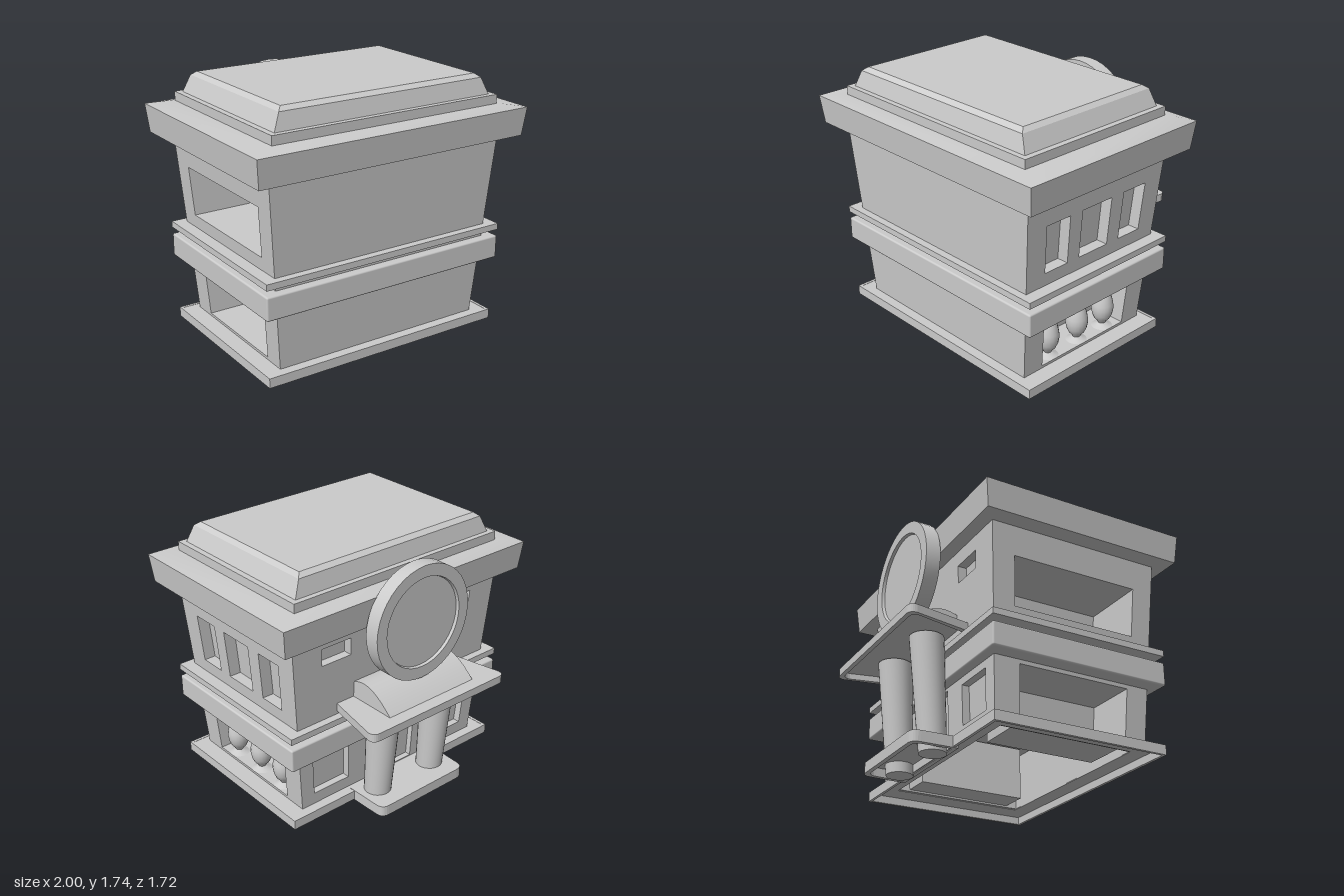
import * as THREE from 'three';
import { toCreasedNormals } from 'three/addons/utils/BufferGeometryUtils.js';
import { RoundedBoxGeometry } from 'three/addons/geometries/RoundedBoxGeometry.js';

const grey = new THREE.MeshStandardMaterial({ color: 0xcccccc, side: THREE.DoubleSide });
const WALL = 0.07; // wall thickness

function add(parent, name, geometry, x = 0, y = 0, z = 0) {
  const mesh = new THREE.Mesh(geometry, grey);
  mesh.name = name;
  mesh.position.set(x, y, z);
  parent.add(mesh);
  return mesh;
}

// The walls flare outward with height
const halfX = (y) => 0.757 + 0.083 * (y - 0.08);
const halfZ = (y) => 0.53 + 0.058 * (y - 0.08);

// Each facade: turn about y, distance from the centre, half width
const sides = {
  front: { turn: 0, dist: halfZ, half: halfX },
  back: { turn: Math.PI, dist: halfZ, half: halfX },
  left: { turn: Math.PI / 2, dist: halfX, half: halfZ },
  right: { turn: -Math.PI / 2, dist: halfX, half: halfZ },
};

const rectPoints = ([u0, u1, y0, y1]) =>
  [[u0, y0], [u1, y0], [u1, y1], [u0, y1]].map(([u, y]) => new THREE.Vector2(u, y));

// Panel in width fractions (-1..1) by height, bent to the leaning facade
function panel(side, outer, holes, inset, depth) {
  const shape = new THREE.Shape(rectPoints(outer));
  holes.forEach((h) => shape.holes.push(new THREE.Path(rectPoints(h))));
  const geometry = new THREE.ExtrudeGeometry(shape, { depth, bevelEnabled: false });
  const p = geometry.attributes.position;
  for (let i = 0; i < p.count; i++) {
    const y = p.getY(i);
    p.setX(i, p.getX(i) * side.half(y));
    p.setZ(i, side.dist(y) - inset - depth + p.getZ(i));
  }
  geometry.rotateY(side.turn);
  geometry.computeVertexNormals();
  return geometry;
}

// Facade with recessed openings: [u0, u1, y0, y1, depth]
function facade(parent, name, openings) {
  const side = sides[name];
  const group = new THREE.Group();
  group.name = name + 'Facade';
  parent.add(group);
  const holes = openings.map(([u0, u1, y0, y1, d]) => {
    const w = side.half((y0 + y1) / 2);
    return [u0 / w, u1 / w, y0, y1, d];
  });
  add(group, 'wall', panel(side, [-1, 1, 0.07, 1.35], holes, 0, WALL));
  for (const h of holes) {
    const [u0, u1, y0, y1, d] = h;
    const rim = [u0 - 0.015, u1 + 0.015, y0 - 0.015, y1 + 0.015];
    if (d > WALL) add(group, 'recessLining', panel(side, rim, [h], WALL, d - WALL));
    add(group, 'recessBack', panel(side, rim, [], d, 0.02));
  }
}

// Stacked rectangular rings [halfX, halfZ, y], closed at both ends
function rectLoft(rings) {
  const pos = [], idx = [];
  rings.forEach(([x, z, y]) => pos.push(x, y, z, x, y, -z, -x, y, -z, -x, y, z));
  for (let r = 0; r < rings.length - 1; r++) {
    for (let i = 0; i < 4; i++) {
      const a = r * 4 + i, b = r * 4 + ((i + 1) % 4);
      idx.push(a, b, b + 4, a, b + 4, a + 4);
    }
  }
  const t = (rings.length - 1) * 4;
  idx.push(t, t + 1, t + 2, t, t + 2, t + 3, 0, 2, 1, 0, 3, 2);
  const geometry = new THREE.BufferGeometry();
  geometry.setAttribute('position', new THREE.Float32BufferAttribute(pos, 3));
  geometry.setIndex(idx);
  return toCreasedNormals(geometry, 0.3);
}

// Flat shape (x, -z) raised to a height
const raise = (shape, depth) =>
  new THREE.ExtrudeGeometry(shape, { depth, bevelEnabled: false, curveSegments: 6 }).rotateX(-Math.PI / 2);

// Flat rectangular frame
function frame(hx, hz, innerX, innerZ, height) {
  const shape = new THREE.Shape(rectPoints([-hx, hx, -hz, hz]));
  shape.holes.push(new THREE.Path(rectPoints([-innerX, innerX, -innerZ, innerZ])));
  return raise(shape, height);
}

// Outline from the wall outward (v = -z) with two rounded outer corners
function slabOutline(wNear, wFar, vNear, vFar, r, inset = 0) {
  const a = wNear - inset, b = wFar - inset, n = vNear + inset, f = vFar - inset;
  const s = new THREE.Shape();
  s.moveTo(-a, n);
  s.lineTo(a, n);
  s.lineTo(b, f - r);
  s.quadraticCurveTo(b, f, b - r, f);
  s.lineTo(-b + r, f);
  s.quadraticCurveTo(-b, f, -b, f - r);
  s.closePath();
  return s;
}

// Slab that is hollow underneath
function slab(parent, name, y, height, ...outline) {
  const group = new THREE.Group();
  group.name = name;
  parent.add(group);
  const rim = slabOutline(...outline);
  rim.holes.push(slabOutline(...outline, 0.03));
  add(group, 'rim', raise(rim, height), 0, y, 0);
  add(group, 'top', raise(slabOutline(...outline), 0.015), 0, y + height - 0.015, 0);
}

const lathe = (points, segments, crease) => toCreasedNormals(
  new THREE.LatheGeometry(points.map(([r, y]) => new THREE.Vector2(r, y)), segments), crease);

export function createModel() {
  const model = new THREE.Group();
  model.name = 'building';
  const body = new THREE.Group();
  body.name = 'body';
  body.position.z = 0.142;
  model.add(body);

  // Plinth: thin skirt with a ledge on top, open underneath
  add(body, 'plinthSkirt', frame(0.875, 0.6, 0.855, 0.58, 0.065), 0, 0.015, 0);
  add(body, 'plinthLedge', frame(0.875, 0.6, 0.7, 0.46, 0.012), 0, 0.066, 0);

  // Facades with windows, door and deep niches
  facade(body, 'front', []);
  facade(body, 'left', [
    [-0.425, -0.232, 0.8, 1.13, 0.08],
    [-0.128, 0.126, 0.8, 1.13, 0.08],
    [0.235, 0.432, 0.8, 1.13, 0.08],
    [-0.382, 0.38, 0.097, 0.442, 0.25],
  ]);
  facade(body, 'right', [
    [-0.43, 0.44, 0.8, 1.13, 0.45],
    [-0.37, 0.39, 0.097, 0.442, 0.36],
  ]);
  const backOpenings = [[-0.19, 0.19, 0.085, 0.45, 0.04]];
  for (const s of [-1, 1]) {
    const span = (a, b) => (s > 0 ? [a, b] : [-b, -a]);
    backOpenings.push([...span(0.4, 0.63), 1.11, 1.23, 0.06]);
    backOpenings.push([...span(0.38, 0.67), 0.16, 0.42, 0.05]);
  }
  facade(body, 'back', backOpenings);

  // Balusters in the left niche
  const balusterShape = [[0.07, 0.097], [0.045, 0.108], [0.025, 0.122], [0.032, 0.135], [0.052, 0.157],
    [0.067, 0.19], [0.075, 0.235], [0.072, 0.267], [0.062, 0.31], [0.046, 0.36], [0.032, 0.395],
    [0.023, 0.417], [0.028, 0.428], [0.043, 0.442]];
  for (const z of [0.4, 0.136, -0.11]) add(model, 'baluster', lathe(balusterShape, 20, 1), 0.69, 0, z);

  // Belt courses
  add(body, 'belt', new RoundedBoxGeometry(1.79, 0.158, 1.238, 2, 0.012), 0, 0.547, 0);
  add(body, 'thinBelt', new THREE.BoxGeometry(1.79, 0.042, 1.238), 0, 0.69, 0);

  // Cornice and roof
  add(body, 'cornice', rectLoft([[0.98, 0.698, 1.328], [1, 0.718, 1.518], [0.86, 0.62, 1.54]]));
  add(body, 'roofStep', rectLoft([[0.837, 0.605, 1.53], [0.837, 0.605, 1.6]]));
  add(body, 'roof', rectLoft([[0.797, 0.568, 1.6], [0.75, 0.542, 1.71], [0.72, 0.508, 1.735]]));

  // Portico with leaning columns
  const portico = new THREE.Group();
  portico.name = 'portico';
  model.add(portico);
  slab(portico, 'porticoBase', 0.01, 0.073, 0.377, 0.37, 0.42, 0.725, 0.06);
  slab(portico, 'porticoCanopy', 0.735, 0.055, 0.495, 0.57, 0.42, 0.858, 0.05);
  for (const x of [-0.235, 0.235]) {
    const column = new THREE.CylinderGeometry(0.112, 0.088, 0.76, 24);
    const p = column.attributes.position;
    for (let i = 0; i < p.count; i++) p.setZ(i, p.getZ(i) - 0.08 * (p.getY(i) + 0.38));
    add(portico, 'column', column, x, 0.38, -0.522);
  }

  // Curved hood above the canopy
  const hood = new THREE.Shape();
  hood.moveTo(0.4, 0.78);
  hood.lineTo(0.78, 0.78);
  hood.quadraticCurveTo(0.64, 0.922, 0.53, 0.922);
  hood.quadraticCurveTo(0.47, 0.922, 0.4, 0.885);
  hood.closePath();
  const hoodGeometry = new THREE.ExtrudeGeometry(hood, { depth: 0.72, bevelEnabled: false, curveSegments: 10 });
  add(portico, 'hood', toCreasedNormals(hoodGeometry.rotateY(Math.PI / 2), 0.6), -0.36, 0, 0);

  // Round sign with a shallow sunken face
  const sign = lathe([[0, 0], [0.385, 0], [0.385, 0.1], [0.305, 0.1], [0.3, 0.08], [0, 0.08]], 40, 0.6);
  add(model, 'roundSign', sign.rotateX(-Math.PI / 2), 0, 1.284, -0.572);

  return model;
}
